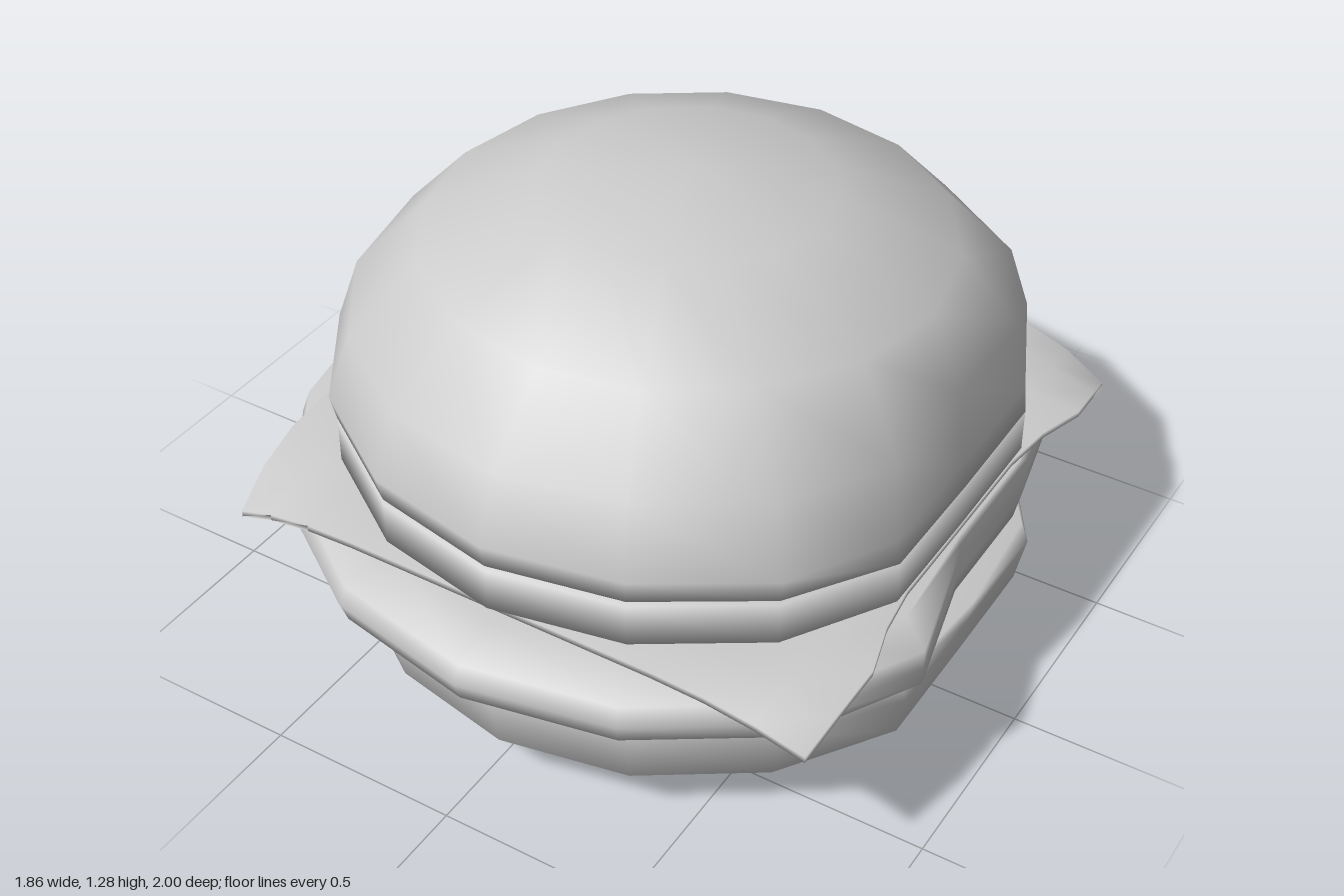
import * as THREE from 'three';
import { mergeVertices } from 'three/addons/utils/BufferGeometryUtils.js';

const CENTRE_X = 0.05;
const material = new THREE.MeshStandardMaterial({ color: 0xcccccc });

// Move every vertex by a rule, then weld and smooth the surface
function reshape(geometry, rule, weld = true) {
  const p = geometry.attributes.position;
  const v = new THREE.Vector3();
  for (let i = 0; i < p.count; i++) {
    v.fromBufferAttribute(p, i);
    rule(v);
    p.setXYZ(i, v.x, v.y, v.z);
  }
  if (weld) {
    geometry.deleteAttribute('normal');
    geometry.deleteAttribute('uv');
    geometry = mergeVertices(geometry, 1e-4);
  }
  geometry.computeVertexNormals();
  return geometry;
}

// Flatten the +x side against a limit and let its middle sag
function squash(v, limit, sag) {
  const side = THREE.MathUtils.clamp((v.x - 0.55) / 0.2, 0, 1);
  const middle = Math.max(0, 1 - Math.abs(v.z) / 0.75);
  v.y -= sag * side * Math.min(1, middle * 1.5);
  v.x = Math.min(v.x, limit);
}

function layer(name, profile, rule) {
  const points = profile.map(([r, y]) => new THREE.Vector2(r, y));
  const geometry = reshape(new THREE.LatheGeometry(points, 16), (v) => {
    v.x += CENTRE_X;
    rule(v);
  });
  const mesh = new THREE.Mesh(geometry, material);
  mesh.name = name;
  return mesh;
}

export function createModel() {
  const group = new THREE.Group();
  group.name = 'burger';

  // Rounded base, flat on top
  group.add(layer('bottomBun',
    [[0, 0], [0.39, 0.012], [0.735, 0.045], [0.845, 0.145], [0.875, 0.285], [0.85, 0.345], [0.6, 0.345], [0, 0.345]],
    (v) => squash(v, 0.81 + 0.15 * Math.min(v.y, 0.34), v.y > 0.25 ? 0.025 : 0)));

  // Wide lower filling, raised a little at -x, with one bulge left on the flattened side
  group.add(layer('lowerFilling',
    [[0, 0.35], [0.6, 0.35], [0.85, 0.352], [0.98, 0.395], [1, 0.45], [0.98, 0.495], [0.85, 0.53], [0.6, 0.535], [0, 0.535]],
    (v) => {
      if (v.x < -0.6 && v.y > 0.48) v.y += 0.015;
      const bulge = Math.max(0, 1 - Math.abs(v.z - 0.43) / 0.3);
      squash(v, 0.81 + 0.12 * bulge, 0.02);
    }));

  // Square slice with drooping corners
  const slice = new THREE.BoxGeometry(1.64, 0.016, 1.66, 12, 1, 12);
  const cheese = new THREE.Mesh(reshape(slice, (v) => {
    const u = Math.abs(v.x) / 0.82;
    const w = Math.abs(v.z) / 0.83;
    const droop = Math.max(0, (u + w - 1.5) / 0.5) ** 2;
    v.x = v.x * (1 - 0.045 * droop) + CENTRE_X;
    v.z *= 1 - 0.045 * droop;
    v.y += 0.55 - 0.095 * droop;
    squash(v, 0.81 + 0.08 * THREE.MathUtils.smoothstep(Math.abs(v.z), 0.3, 0.66), 0.015);
  }), material);
  cheese.name = 'cheeseSlice';
  group.add(cheese);

  // Thin straight-sided disc
  group.add(layer('upperFilling',
    [[0, 0.575], [0.6, 0.575], [0.862, 0.575], [0.862, 0.685], [0.6, 0.685], [0, 0.685]],
    (v) => squash(v, 0.81, 0.03)));

  // Domed top
  group.add(layer('topBun',
    [[0, 0.7], [0.6, 0.7], [0.862, 0.7], [0.877, 0.765], [0.82, 0.93], [0.645, 1.115], [0.355, 1.238], [0, 1.28]],
    (v) => squash(v, 0.81 - 0.14 * Math.max(0, v.y - 0.7), v.y < 0.8 ? 0.045 : 0.01)));

  return group;
}
